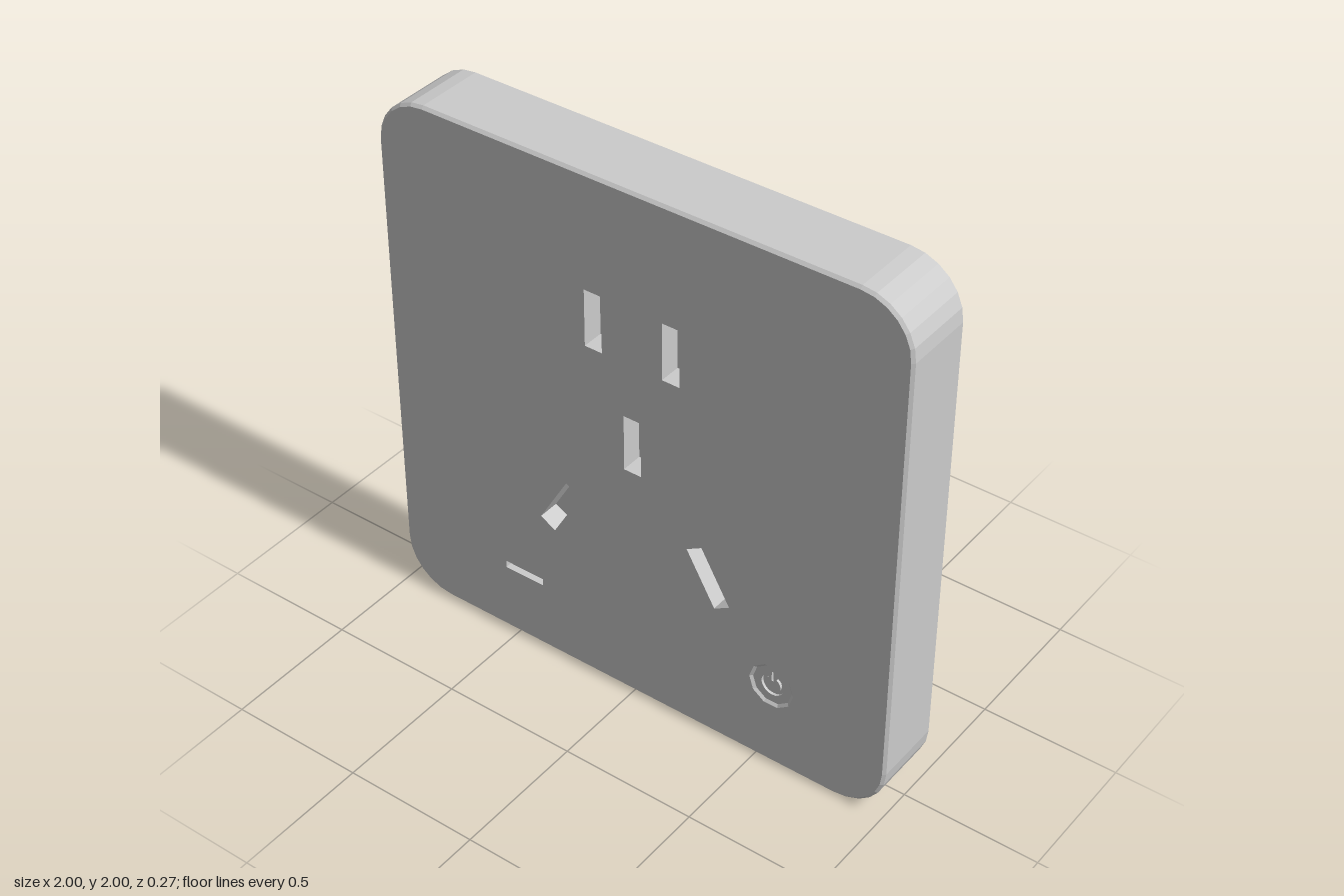
import * as THREE from 'three';

const FRONT = 0.135, BACK = -0.135, CHAMFER = 0.01;
const V = (x, y) => new THREE.Vector2(x, y);

// Outlines run counter-clockwise seen from the front
function roundedSquare(inset) {
  const pts = [], r = 0.19 - inset, c = 0.81;
  for (let q = 0; q < 4; q++) {
    const cx = q === 0 || q === 3 ? c : -c, cy = q < 2 ? c : -c;
    for (let i = 0; i <= 6; i++) {
      const a = (q + i / 6) * Math.PI / 2;
      pts.push(V(cx + r * Math.cos(a), 1 + cy + r * Math.sin(a)));
    }
  }
  return pts;
}

function slot(x, y, w, h, angle = 0) {
  return [[-1, -1], [1, -1], [1, 1], [-1, 1]].map(([u, v]) =>
    V(u * w / 2, v * h / 2).rotateAround(V(0, 0), angle).add(V(x, y)));
}

function arc(x, y, r, from, to, n) {
  return Array.from({ length: n + 1 }, (_, i) => {
    const a = from + (to - from) * i / n;
    return V(x + r * Math.cos(a), y + r * Math.sin(a));
  });
}

// Wall joining outline a at depth za to outline b at depth zb
function band(a, za, b, zb) {
  const pos = [];
  a.forEach((p, i) => {
    const j = (i + 1) % a.length;
    const A = [p.x, p.y, za], B = [a[j].x, a[j].y, za];
    const C = [b[j].x, b[j].y, zb], D = [b[i].x, b[i].y, zb];
    pos.push(...A, ...B, ...C, ...A, ...C, ...D);
  });
  const g = new THREE.BufferGeometry();
  g.setAttribute('position', new THREE.Float32BufferAttribute(pos, 3));
  g.computeVertexNormals();
  return g;
}

// Flat face with optional openings
function face(outline, z, holes = [], back = false) {
  const s = new THREE.Shape(outline);
  s.holes = holes.map(h => new THREE.Path(h));
  const g = new THREE.ShapeGeometry(s);
  if (back) g.rotateY(Math.PI); // outline is symmetric in x
  return g.translate(0, 0, z);
}

export function createModel() {
  const model = new THREE.Group();
  const mat = new THREE.MeshStandardMaterial({ color: 0xcccccc, flatShading: true });
  const group = name => {
    const g = new THREE.Group();
    g.name = name;
    model.add(g);
    return g;
  };
  const add = (parent, name, geo) => {
    const m = new THREE.Mesh(geo, mat);
    m.name = name;
    parent.add(m);
  };
  const pocket = (parent, name, outline, z, depth) => {
    add(parent, name + 'Walls', band(outline, z, outline, z - depth));
    add(parent, name + 'Floor', face(outline, z - depth));
  };

  // Socket openings and indicator slit
  const W = 0.067, H = 0.213, tilt = Math.PI / 6;
  const slots = [
    ['upperRightSlot', slot(-0.15, 1.47, W, H), 0.08],
    ['upperLeftSlot', slot(0.15, 1.47, W, H), 0.08],
    ['earthSlot', slot(0, 1.05, W, H), 0.08],
    ['lowerRightSlot', slot(-0.3, 0.657, W, H + 0.01, -tilt), 0.08],
    ['lowerLeftSlot', slot(0.3, 0.657, W, H + 0.01, tilt), 0.08],
    ['indicatorSlit', slot(-0.467, 0.284, 0.16, 0.028), 0.03],
  ];

  // Ten-sided button
  const bx = 0.556, by = 0.332;
  const decagon = r => arc(bx, by, r, 0, Math.PI * 2, 10).slice(0, 10);
  const rim = decagon(0.086), cap = decagon(0.076);

  // Body shell with chamfered front and back edges
  const body = group('body');
  const outer = roundedSquare(0), inner = roundedSquare(CHAMFER);
  add(body, 'frontFace', face(inner, FRONT, [...slots.map(s => s[1]), rim]));
  add(body, 'frontChamfer', band(outer, FRONT - CHAMFER, inner, FRONT));
  add(body, 'sides', band(outer, BACK + CHAMFER, outer, FRONT - CHAMFER));
  add(body, 'backChamfer', band(inner, BACK, outer, BACK + CHAMFER));
  add(body, 'backFace', face(inner, BACK, [], true));

  const sockets = group('sockets');
  slots.forEach(([name, outline, depth]) => pocket(sockets, name, outline, FRONT, depth));

  // Button with an engraved power symbol
  const button = group('powerButton');
  const bz = FRONT - 0.008;
  const start = Math.PI * 0.66, end = Math.PI * 2.34;
  const ring = [...arc(bx, by, 0.043, start, end, 18), ...arc(bx, by, 0.031, end, start, 18)];
  const bar = slot(bx, by + 0.036, 0.008, 0.038);
  add(button, 'buttonRim', band(rim, FRONT, cap, bz));
  add(button, 'buttonFace', face(cap, bz, [ring, bar]));
  pocket(button, 'powerRing', ring, bz, 0.01);
  pocket(button, 'powerBar', bar, bz, 0.01);

  return model;
}
